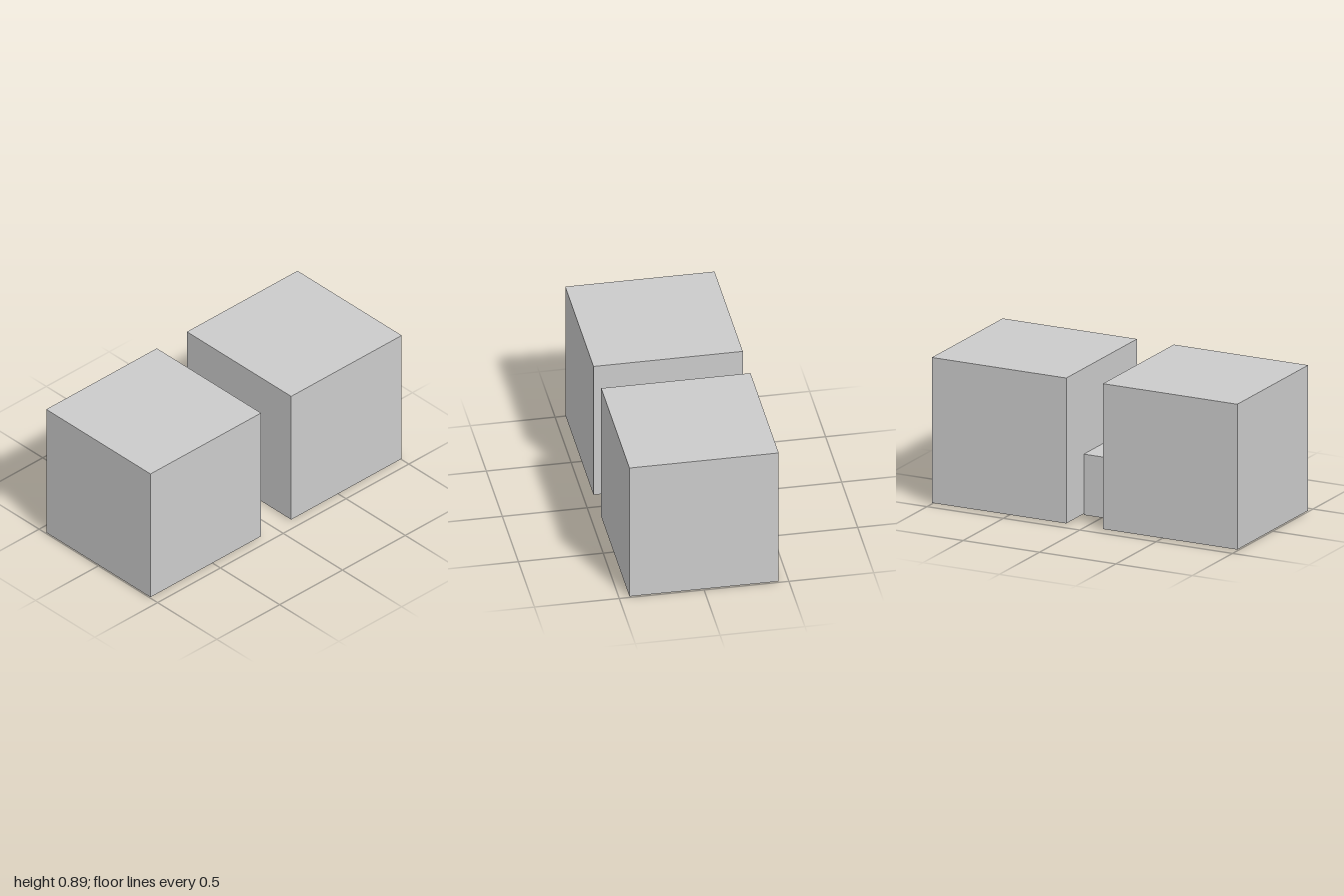
import * as THREE from 'three';

export function createModel() {
  const group = new THREE.Group();
  const material = new THREE.MeshStandardMaterial({ color: 0xcccccc, flatShading: true });

  // Box given by its lower and upper corners
  const addBox = (name, [x0, y0, z0], [x1, y1, z1]) => {
    const mesh = new THREE.Mesh(new THREE.BoxGeometry(x1 - x0, y1 - y0, z1 - z0), material);
    mesh.position.set((x0 + x1) / 2, (y0 + y1) / 2, (z0 + z1) / 2);
    mesh.name = name;
    group.add(mesh);
  };

  // Two large cubes, mirrored about x = 0
  addBox('leftCube', [0.12, 0.007, -0.44], [1, 0.887, 0.44]);
  addBox('rightCube', [-1, 0.007, -0.44], [-0.12, 0.887, 0.44]);

  // Low bridge joining them, set slightly towards the back
  addBox('bridge', [-0.12, 0, -0.222], [0.12, 0.368, 0.139]);

  return group;
}
